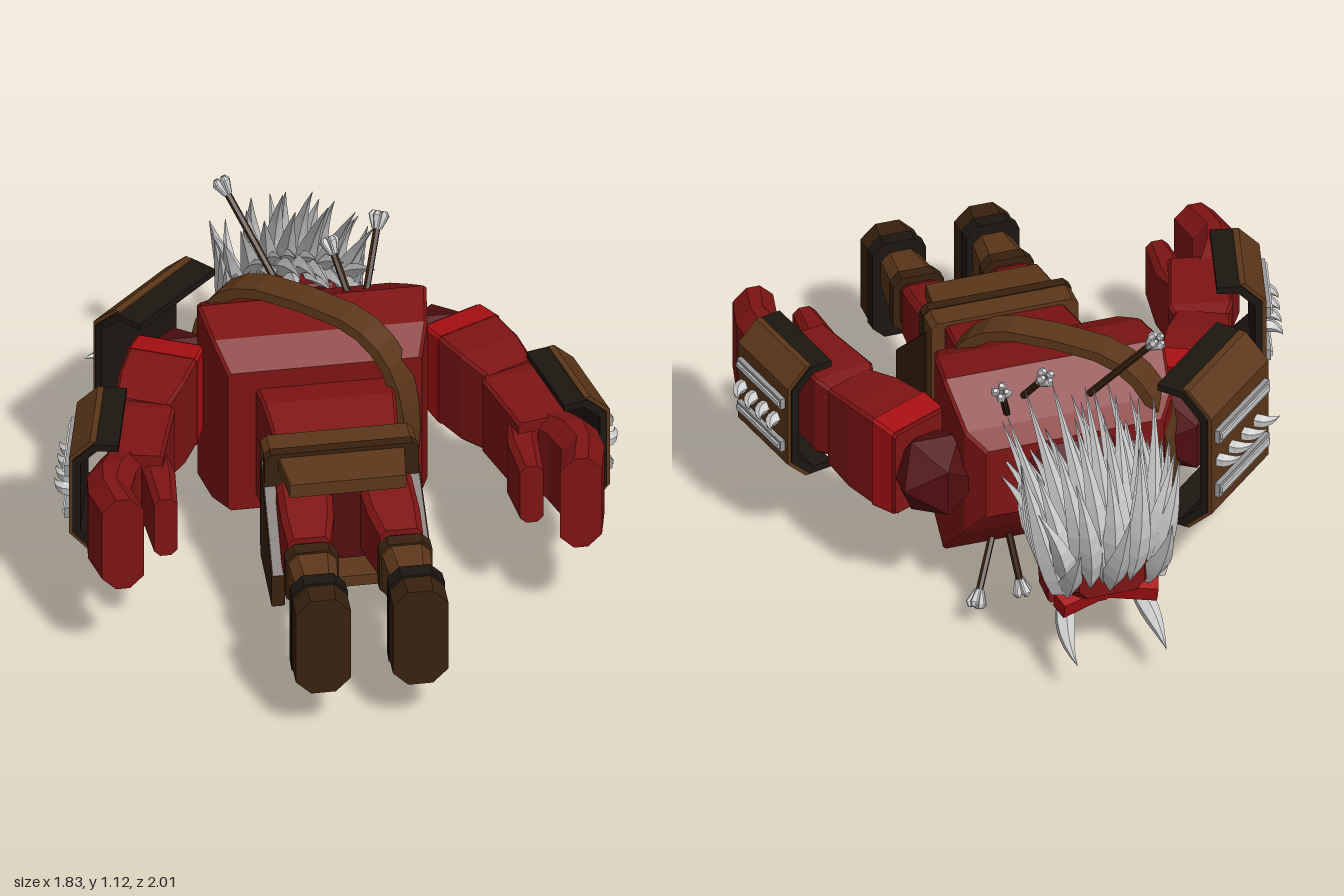
import * as THREE from 'three';

const V = (x, y, z) => new THREE.Vector3(x, y, z);
const mat = (color) => new THREE.MeshStandardMaterial({ color, flatShading: true, side: THREE.DoubleSide });
const red = mat(0x7e1414), brightRed = mat(0xa80f12), darkRed = mat(0x520e10);
const brown = mat(0x5c371a), darkBrown = mat(0x38210f), black = mat(0x1c1610);
const grey = mat(0xcccccc), metal = mat(0x9a9a9c);

// Skin between rings of points, closed at both ends
function skin(rings) {
  const out = [], n = rings[0].length;
  const tri = (...pts) => pts.forEach((p) => out.push(p.x, p.y, p.z));
  for (let i = 0; i < rings.length - 1; i++) {
    for (let j = 0; j < n; j++) {
      const k = (j + 1) % n, a = rings[i], b = rings[i + 1];
      tri(a[j], a[k], b[k]);
      tri(a[j], b[k], b[j]);
    }
  }
  const last = rings[rings.length - 1];
  for (let j = 1; j < n - 1; j++) {
    tri(rings[0][0], rings[0][j + 1], rings[0][j]);
    tri(last[0], last[j], last[j + 1]);
  }
  const g = new THREE.BufferGeometry();
  g.setAttribute('position', new THREE.Float32BufferAttribute(out, 3));
  g.computeVertexNormals();
  return g;
}

// Chamfered block along z; sections are [z, centreX, centreY, halfWidth, halfHeight, chamfer]
function block(...sections) {
  return skin(sections.map(([z, x, y, w, h, c = 0.004]) => [
    [w, -h + c], [w, h - c], [w - c, h], [-w + c, h], [-w, h - c], [-w, -h + c], [-w + c, -h], [w - c, -h],
  ].map(([px, py]) => V(x + px, y + py, z))));
}

// Tapering curved lock, spike or tusk
function horn(p0, p1, p2, radius, sides = 5, steps = 6) {
  const curve = new THREE.QuadraticBezierCurve3(p0, p1, p2), rings = [];
  for (let i = 0; i <= steps; i++) {
    const t = i / steps, p = curve.getPoint(t), d = curve.getTangent(t);
    const n = V(1, 0.1, 0.2).cross(d).normalize(), b = d.clone().cross(n);
    const r = radius * Math.max(0.03, Math.pow(1 - t, 0.6)) * (0.65 + 0.55 * Math.sin(Math.PI * Math.min(1, t + 0.1)));
    rings.push(Array.from({ length: sides }, (_, j) => {
      const a = (j / sides) * Math.PI * 2;
      return p.clone().addScaledVector(n, r * Math.cos(a)).addScaledVector(b, r * Math.sin(a));
    }));
  }
  return skin(rings);
}

function add(parent, name, geometry, material, pos, lookAt) {
  const m = new THREE.Mesh(geometry, material);
  m.name = name;
  if (pos) m.position.copy(pos);
  if (lookAt) m.lookAt(lookAt);
  parent.add(m);
  return m;
}
const box = (w, h, d) => new THREE.BoxGeometry(w, h, d);

// Open channel of armour with bars and spikes; runs along z, bulges to +x
function guard(name, len, depth, h) {
  const g = new THREE.Group();
  g.name = name;
  const channel = (x0, x1, hh, c, t, l) => {
    const s = new THREE.Shape([[x0, -hh], [x1 - c, -hh], [x1, -hh + c], [x1, hh - c], [x1 - c, hh], [x0, hh],
      [x0, hh - t], [x1 - c - t / 2, hh - t], [x1 - t, hh - c - t / 2], [x1 - t, -hh + c + t / 2],
      [x1 - c - t / 2, -hh + t], [x0, -hh + t]].map((p) => new THREE.Vector2(...p)));
    return new THREE.ExtrudeGeometry(s, { depth: l, bevelEnabled: false });
  };
  add(g, name + 'Lining', channel(-0.01, depth - 0.012, h, depth * 0.45, 0.025, len), black);
  add(g, name + 'Plate', channel(depth * 0.42, depth, h + 0.006, depth * 0.45, 0.03, len * 0.96), brown).position.z = len * 0.02;
  for (const s of [-1, 1]) {
    add(g, name + 'Bar', box(0.025, h * 0.19, len * 0.84), metal, V(depth + 0.004, s * h * 0.4, len / 2));
    add(g, name + 'BarRidge', box(0.02, h * 0.08, len * 0.8), grey, V(depth + 0.013, s * h * 0.4, len / 2));
  }
  for (let i = 0; i < 4; i++) {
    const z = len * (0.18 + i * 0.21);
    add(g, name + 'Spike', horn(V(depth - 0.02, 0, z + 0.02), V(depth + 0.045, 0, z + 0.02), V(depth + 0.055, 0, z - 0.04), 0.024), grey);
  }
  return g;
}

function arrow(parent, from, to) {
  const g = new THREE.Group(), len = from.distanceTo(to);
  g.name = 'arrow';
  const shaft = add(g, 'arrowShaft', new THREE.CylinderGeometry(0.012, 0.012, len, 6), darkBrown, V(0, 0, len / 2));
  shaft.rotation.x = Math.PI / 2;
  for (let i = 0; i < 4; i++) {
    const a = (i * Math.PI) / 2, c = Math.cos(a), s = Math.sin(a);
    add(g, 'fletching', block([len - 0.045, c * 0.008, s * 0.008, 0.008, 0.008], [len, c * 0.02, s * 0.02, 0.013, 0.013],
      [len + 0.015, c * 0.018, s * 0.018, 0.007, 0.007]), grey);
  }
  g.position.copy(from);
  g.lookAt(to);
  parent.add(g);
}

// Arm and leg for the +x side
function limbs(name) {
  const g = new THREE.Group();
  g.name = name;
  add(g, 'shoulder', new THREE.IcosahedronGeometry(0.155, 0), darkRed, V(0.42, 0.54, -0.33));
  add(g, 'upperArm', block([0, 0, 0, 0.11, 0.155, 0.01], [0.1, 0, 0, 0.115, 0.17, 0.01], [0.22, 0, 0, 0.11, 0.168, 0.01],
    [0.34, 0, 0, 0.09, 0.15, 0.01]), red, V(0.455, 0.55, -0.28), V(0.6, 0.55, 0.03));
  add(g, 'armBand', block([0, 0, 0, 0.114, 0.162, 0.01], [0.09, 0, 0, 0.118, 0.173, 0.01]), brightRed, V(0.46, 0.55, -0.27), V(0.6, 0.55, 0.03));
  add(g, 'forearm', block([0, 0, 0, 0.08, 0.13, 0.01], [0.06, 0, 0, 0.105, 0.145, 0.01], [0.32, 0.01, 0, 0.09, 0.14, 0.01]),
    red, V(0.59, 0.56, 0.01), V(0.66, 0.56, 0.34));
  add(g, 'hand', block([0.26, 0.69, 0.54, 0.08, 0.15, 0.04], [0.37, 0.75, 0.54, 0.08, 0.18, 0.05],
    [0.46, 0.77, 0.54, 0.07, 0.18, 0.05], [0.58, 0.745, 0.54, 0.068, 0.175, 0.045]), red);
  add(g, 'thumb', block([0.24, 0.61, 0.54, 0.05, 0.12], [0.35, 0.59, 0.54, 0.05, 0.12, 0.02], [0.51, 0.595, 0.54, 0.038, 0.11, 0.02]), red);
  const bracer = guard('bracer', 0.32, 0.15, 0.21);
  bracer.position.set(0.66, 0.56, 0.045);
  bracer.lookAt(0.735, 0.56, 0.355);
  g.add(bracer);

  add(g, 'thigh', block([0.4, 0.13, 0.46, 0.09, 0.14, 0.02], [0.55, 0.14, 0.46, 0.085, 0.11, 0.02], [0.65, 0.15, 0.45, 0.07, 0.1, 0.02]), red);
  add(g, 'knee', block([0.62, 0.15, 0.45, 0.065, 0.08, 0.02], [0.72, 0.15, 0.45, 0.065, 0.08, 0.02]), darkRed);
  add(g, 'shinGuard', block([0.69, 0.152, 0.45, 0.083, 0.1, 0.03], [0.88, 0.155, 0.45, 0.065, 0.075, 0.03]), brown);
  add(g, 'kneeCuff', block([0.685, 0.152, 0.45, 0.086, 0.104, 0.03], [0.73, 0.152, 0.45, 0.086, 0.102, 0.03]), darkBrown);
  add(g, 'boot', block([0.88, 0.158, 0.375, 0.088, 0.18, 0.04], [1, 0.158, 0.37, 0.09, 0.182, 0.05]), darkBrown);
  add(g, 'bootTrim', block([0.87, 0.158, 0.38, 0.09, 0.184, 0.04], [0.92, 0.158, 0.376, 0.092, 0.186, 0.04]), black);
  return g;
}

export function createModel() {
  const model = new THREE.Group();
  model.name = 'lyingWarrior';

  // Torso
  add(model, 'chest', block([-0.49, 0, 0.57, 0.3, 0.13, 0.01], [-0.42, 0, 0.54, 0.35, 0.2, 0.01], [-0.26, 0, 0.508, 0.372, 0.337, 0.01],
    [-0.1, 0, 0.505, 0.35, 0.315, 0.01], [0.01, 0, 0.49, 0.315, 0.27, 0.01]), red);
  add(model, 'abdomen', block([0, 0, 0.48, 0.225, 0.21, 0.01], [0.1, 0, 0.48, 0.215, 0.215, 0.01], [0.28, 0, 0.47, 0.2, 0.19, 0.01]), red);
  add(model, 'pelvis', block([0.26, 0, 0.46, 0.2, 0.18, 0.02], [0.46, 0, 0.46, 0.16, 0.14, 0.02]), darkRed);

  // Belt and skirt
  add(model, 'belt', block([0.25, 0, 0.455, 0.248, 0.225, 0.02], [0.36, 0, 0.455, 0.248, 0.225, 0.02]), brown);
  add(model, 'beltTrim', block([0.33, 0, 0.455, 0.251, 0.228, 0.02], [0.365, 0, 0.455, 0.251, 0.228, 0.02]), darkBrown);
  add(model, 'backFlap', block([0.34, 0, 0.645, 0.21, 0.025], [0.5, 0, 0.63, 0.19, 0.025]), brown);
  add(model, 'frontFlap', block([0.3, 0, 0.25, 0.2, 0.025], [0.48, 0, 0.24, 0.18, 0.02]), brown);
  for (const s of [-1, 1]) {
    add(model, 'sideFlap', block([0.3, s * 0.232, 0.43, 0.022, 0.19], [0.58, s * 0.24, 0.3, 0.022, 0.06]), darkBrown);
  }

  // Limbs, mirrored
  const right = limbs('rightLimbs');
  right.scale.x = -1;
  model.add(limbs('leftLimbs'), right);

  // Shoulder plate on the right side
  const pauldron = guard('pauldron', 0.39, 0.185, 0.265);
  pauldron.position.set(-0.575, 0.565, -0.215);
  pauldron.lookAt(0.155, 0.565, -0.895);
  model.add(pauldron);

  // Slanted chest strap: a rounded loop around the torso
  const loop = (w, h) => Array.from({ length: 28 }, (_, i) => {
    const a = (i / 28) * Math.PI * 2, c = Math.cos(a), s = Math.sin(a);
    return new THREE.Vector2(w * Math.sign(c) * Math.pow(Math.abs(c), 0.62), h * Math.sign(s) * Math.pow(Math.abs(s), 0.9));
  });
  const ring = new THREE.Shape(loop(0.405, 0.4));
  ring.holes.push(new THREE.Path(loop(0.37, 0.365)));
  const strapGeo = new THREE.ExtrudeGeometry(ring, { depth: 0.1, bevelEnabled: false }).translate(0, 0, -0.05);
  const strap = add(model, 'strap', strapGeo, brown, V(-0.035, 0.5, -0.195));
  strap.rotation.y = -0.69;
  [[0.17, 0.16, -0.03], [-0.01, 0.115, -0.14], [-0.19, 0.135, -0.27], [-0.31, 0.25, -0.42]].forEach(([x, y, z]) => {
    add(model, 'strapBall', new THREE.IcosahedronGeometry(0.058, 1), grey, V(x, y, z));
    add(model, 'ballHolder', box(0.07, 0.06, 0.06), darkBrown, V(x + 0.025, y + 0.005, z - 0.03)).rotation.y = -0.69;
  });

  // Head, looking down
  add(model, 'neck', block([-0.6, 0, 0.48, 0.13, 0.15, 0.04], [-0.42, 0, 0.54, 0.17, 0.17, 0.04]), darkRed);
  add(model, 'head', block([-0.88, 0, 0.41, 0.11, 0.07, 0.03], [-0.8, 0, 0.43, 0.16, 0.14, 0.04],
    [-0.62, 0, 0.43, 0.165, 0.2, 0.04], [-0.5, 0, 0.4, 0.13, 0.17, 0.04]), red);
  add(model, 'jaw', block([-0.64, 0, 0.24, 0.13, 0.05, 0.02], [-0.5, 0, 0.25, 0.09, 0.06, 0.02]), red);
  add(model, 'nose', block([-0.76, 0, 0.27, 0.03, 0.04, 0.01], [-0.65, 0, 0.23, 0.045, 0.04, 0.01]), brightRed);
  add(model, 'mouth', box(0.16, 0.03, 0.025), black, V(0, 0.2, -0.6));
  for (const s of [-1, 1]) {
    const brow = add(model, 'brow', box(0.16, 0.06, 0.06), brightRed, V(s * 0.09, 0.31, -0.82));
    brow.rotation.set(-0.3, s * 0.3, 0);
    add(model, 'eye', box(0.07, 0.03, 0.03), grey, V(s * 0.085, 0.268, -0.745));
    add(model, 'cheek', block([-0.72, s * 0.13, 0.28, 0.035, 0.05, 0.01], [-0.56, s * 0.11, 0.24, 0.035, 0.05, 0.01]), red);
    add(model, 'tusk', horn(V(s * 0.12, 0.27, -0.77), V(s * 0.16, 0.18, -0.85), V(s * 0.15, 0.16, -0.985), 0.036, 6), grey);
  }

  // Hair: rows of [locks, tipY, tipZ, tipSpread, midY, midZ, rootY], from the forehead over to the nape
  const rows = [
    [3, 0.75, -0.985, 0.17, 0.5, -0.96, 0.37], [5, 0.84, -0.84, 0.27, 0.6, -0.97, 0.38], [6, 0.9, -0.73, 0.23, 0.62, -0.93, 0.4],
    [7, 0.96, -0.57, 0.24, 0.6, -0.88, 0.42], [7, 0.86, -0.47, 0.22, 0.62, -0.86, 0.44], [8, 0.77, -0.44, 0.25, 0.66, -0.8, 0.45],
    [7, 0.68, -0.5, 0.24, 0.62, -0.75, 0.45],
  ];
  const hair = new THREE.Group();
  hair.name = 'hair';
  model.add(hair);
  rows.forEach(([n, tipY, tipZ, spread, midY, midZ, rootY], r) => {
    for (let j = 0; j < n; j++) {
      const s = (2 * j) / (n - 1) - 1, wob = Math.sin(j * 5.3 + r * 2.1);
      const root = V(s * 0.13, rootY - 0.03 * s * s, -0.85 + 0.05 * s * s);
      const mid = V(s * (0.17 + 0.02 * wob), midY - 0.06 * s * s, midZ + 0.04 * s * s);
      const tip = V(s * spread + 0.025 * wob, tipY - 0.1 * s * s + 0.04 * wob, tipZ + 0.03 * wob);
      add(hair, 'lock', horn(root, mid, tip, 0.043, 4, 7), grey);
    }
  });
  // Side locks rooted along the temples
  for (const s of [-1, 1]) {
    for (let k = 0; k < 6; k++) {
      add(hair, 'sideLock', horn(V(s * 0.155, 0.36 + k * 0.012, -0.84 + k * 0.035), V(s * 0.2, 0.5, -0.8 + k * 0.045),
        V(s * (0.25 - 0.012 * k), 0.78 - k * 0.025, -0.7 + k * 0.04), 0.045, 4), grey);
    }
  }

  // Arrows stuck in back and chest
  arrow(model, V(-0.08, 0.78, -0.39), V(-0.245, 1.09, -0.585));
  arrow(model, V(0.19, 0.74, -0.37), V(0.258, 0.95, -0.52));
  arrow(model, V(0.13, 0.78, -0.34), V(0.085, 0.92, -0.445));
  arrow(model, V(0.24, 0.26, -0.36), V(0.33, 0.1, -0.48));
  arrow(model, V(0.165, 0.24, -0.29), V(0.137, 0.022, -0.36));
  return model;
}
